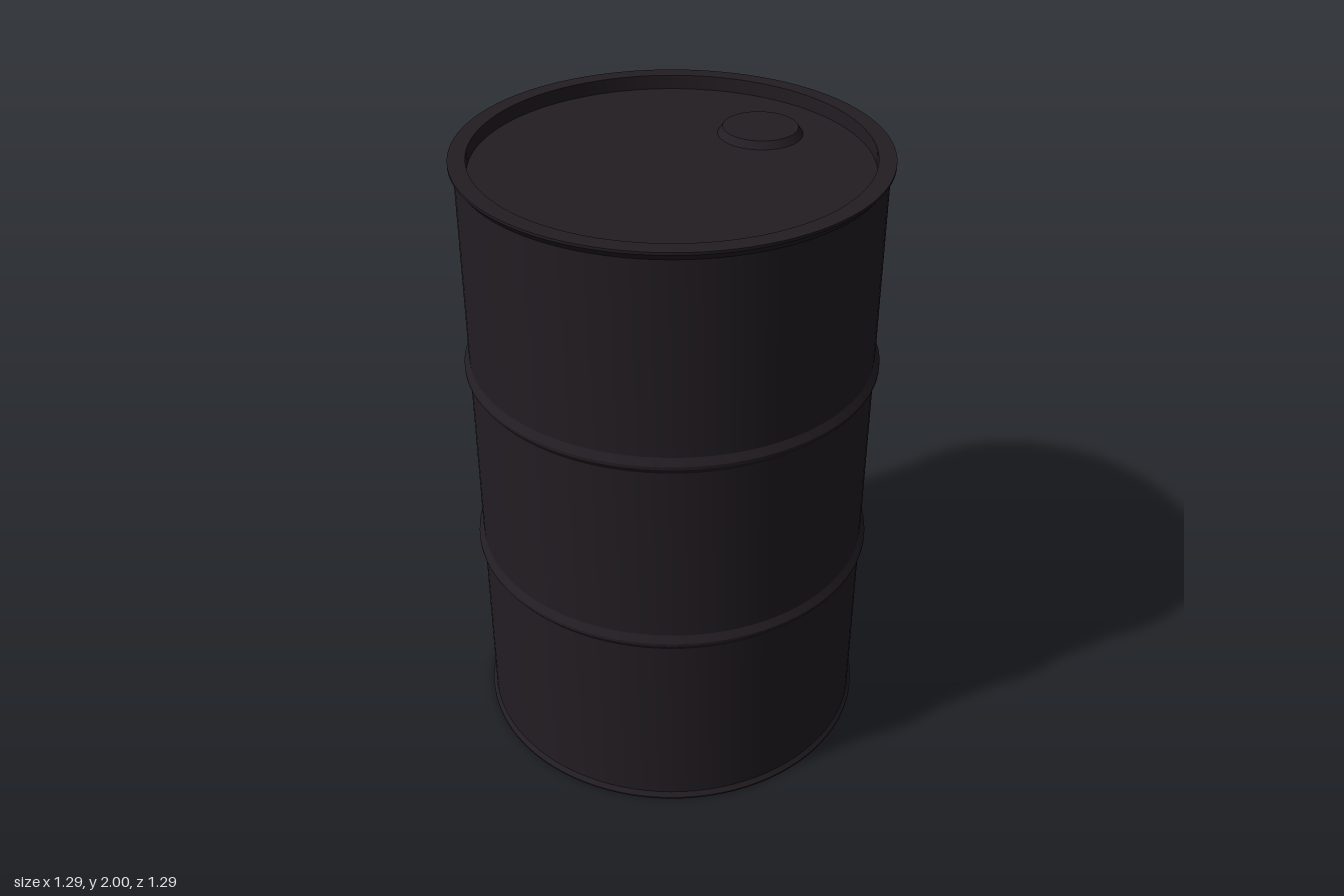
import * as THREE from 'three';
import { toCreasedNormals } from 'three/addons/utils/BufferGeometryUtils.js';

const SEGMENTS = 96;
const R = 0.632;      // drum wall
const RIM = 0.647;    // rim and hoops
const LID_R = 0.595;
const LID_Y = 1.955;

const material = new THREE.MeshStandardMaterial({ color: 0x221d22 });

// Revolve a bottom-to-top profile, keeping its edges sharp
function turned(name, profile, segments = SEGMENTS) {
  const points = profile.map(([r, y]) => new THREE.Vector2(r, y));
  const geometry = toCreasedNormals(new THREE.LatheGeometry(points, segments), 0.3);
  const mesh = new THREE.Mesh(geometry, material);
  mesh.name = name;
  return mesh;
}

// Profile of a rolled hoop pressed out of the wall
function hoop(y) {
  return [[R, y - 0.027], [RIM, y - 0.005], [RIM, y + 0.005], [R, y + 0.027]];
}

export function createModel() {
  const drum = new THREE.Group();
  drum.name = 'drum';

  // Wall with a flat base, flared foot, two hoops and a flared top rim
  drum.add(turned('body', [
    [0, 0], [0.643, 0], [0.643, 0.005], [R, 0.02],
    ...hoop(0.672), ...hoop(1.328),
    [R, 1.972], [RIM, 1.992], [RIM, 2],
    [LID_R, 2], [LID_R, LID_Y],
  ]));

  // Recessed lid
  drum.add(turned('lid', [[LID_R, LID_Y], [0, LID_Y]]));

  // Tapered filler cap near the back of the lid
  const cap = turned('fillerCap', [[0.13, 0], [0.115, 0.022], [0, 0.022]], 48);
  cap.position.set(0, LID_Y, -0.355);
  drum.add(cap);

  return drum;
}
